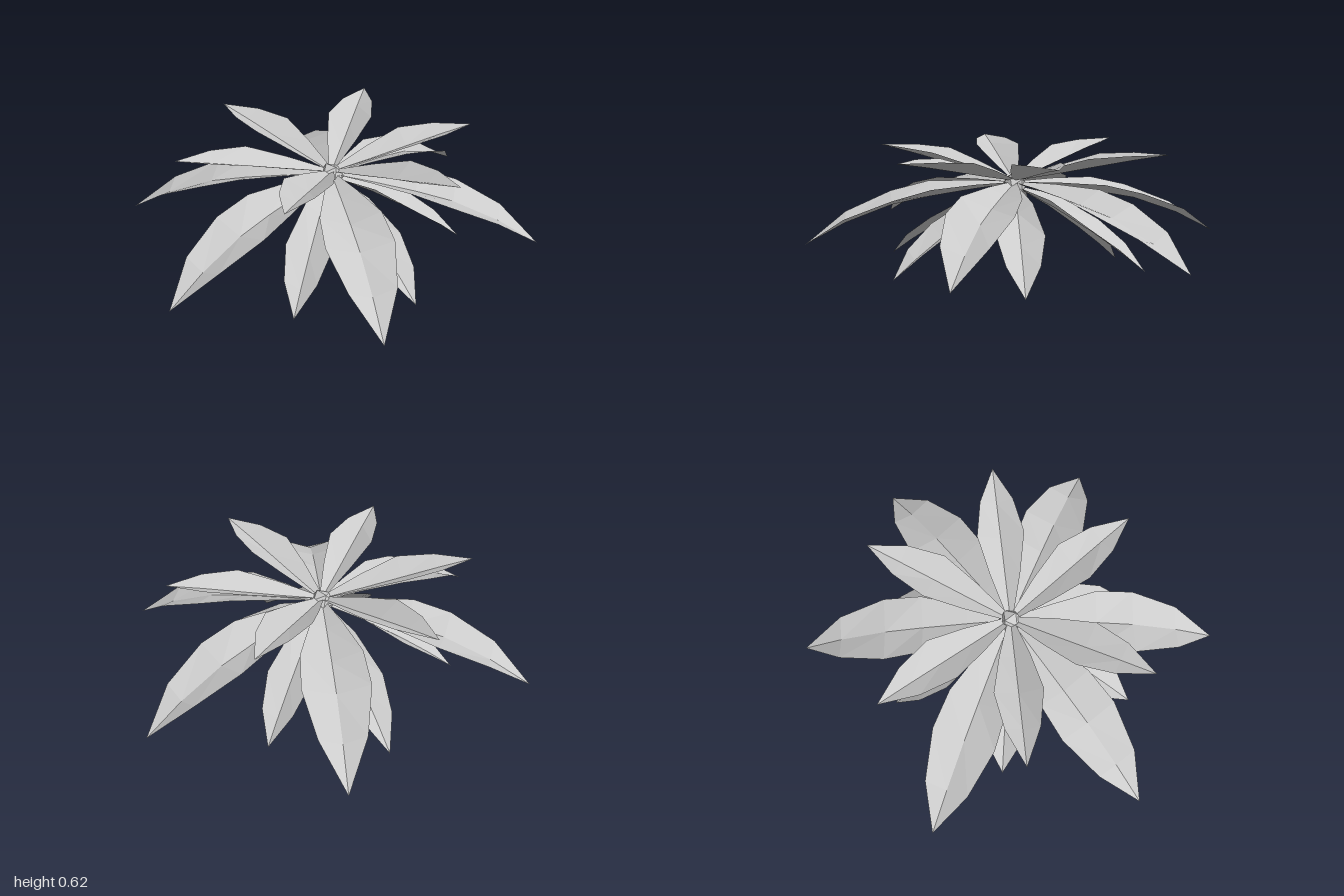
import * as THREE from 'three';

const material = new THREE.MeshStandardMaterial({
  color: 0xcccccc, flatShading: true, side: THREE.DoubleSide,
});

// Leaf cross-sections from base to tip: [reach, half width, rib height, edge height]
const upperProfile = [
  [0.03, 0.02, 0.475, 0.485], [0.20, 0.07, 0.51, 0.545], [0.38, 0.11, 0.55, 0.602],
  [0.55, 0.078, 0.587, 0.617], [0.72, 0, 0.62, 0.62],
];
const middleProfile = [
  [0.03, 0.02, 0.455, 0.465], [0.20, 0.075, 0.435, 0.466], [0.41, 0.138, 0.405, 0.457],
  [0.59, 0.15, 0.37, 0.412], [0.81, 0.103, 0.29, 0.325], [1, 0, 0.19, 0.19],
];
const lowerProfile = [
  [0.03, 0.02, 0.43, 0.44], [0.20, 0.07, 0.35, 0.395], [0.39, 0.108, 0.24, 0.285],
  [0.53, 0.075, 0.15, 0.185], [0.64, 0, 0.07, 0.07],
];

// A leaf folded along its rib, pointing at the tip position (x, z); droop lowers the tip
function makeLeaf(name, profile, [x, z, droop = 0]) {
  const length = Math.hypot(x, z);
  const stretch = length / profile[profile.length - 1][0];
  const positions = [];
  const indices = [];
  profile.forEach(([reach, half, rib, edge], i) => {
    const r = reach * stretch;
    const drop = droop * r / length;
    positions.push(r, edge - drop, -half, r, rib - drop, 0, r, edge - drop, half);
    if (i === 0) return;
    const isTip = half === 0;
    for (let k = 0; k < 2; k++) {
      const a = (i - 1) * 3 + k;
      const b = a + 3;
      if (isTip) indices.push(a, a + 1, i * 3 + 1);
      else indices.push(a, a + 1, b, a + 1, b + 1, b);
    }
  });
  const geometry = new THREE.BufferGeometry();
  geometry.setAttribute('position', new THREE.Float32BufferAttribute(positions, 3));
  geometry.setIndex(indices);
  geometry.computeVertexNormals();
  const leaf = new THREE.Mesh(geometry, material);
  leaf.name = name;
  leaf.rotation.y = -Math.atan2(z, x);
  return leaf;
}

function makeTier(name, leafName, profile, tips) {
  const tier = new THREE.Group();
  tier.name = name;
  tips.forEach((tip) => tier.add(makeLeaf(leafName, profile, tip)));
  return tier;
}

export function createModel() {
  const plant = new THREE.Group();
  plant.name = 'leafRosette';

  // Three tiers of six leaves, given by tip positions
  plant.add(makeTier('upperLeaves', 'upperLeaf', upperProfile, [
    [0.71, -0.01], [0.31, 0.64], [-0.39, 0.61], [-0.73, 0], [-0.33, -0.65], [0.37, -0.61],
  ]));
  plant.add(makeTier('middleLeaves', 'middleLeaf', middleProfile, [
    [0.85, -0.49], [0.79, 0.595], [-0.02, 0.995], [-0.86, 0.52], [-0.82, -0.585], [0, -1],
  ]));
  plant.add(makeTier('lowerLeaves', 'lowerLeaf', lowerProfile, [
    [0.625, 0.15], [0.29, 0.58], [-0.425, 0.48], [-0.62, -0.14, 0.07], [-0.285, -0.57], [0.425, -0.48],
  ]));

  // Small faceted bud joining the leaves
  const bud = new THREE.Mesh(new THREE.IcosahedronGeometry(0.06, 0), material);
  bud.name = 'centralBud';
  bud.position.y = 0.45;
  plant.add(bud);

  return plant;
}
